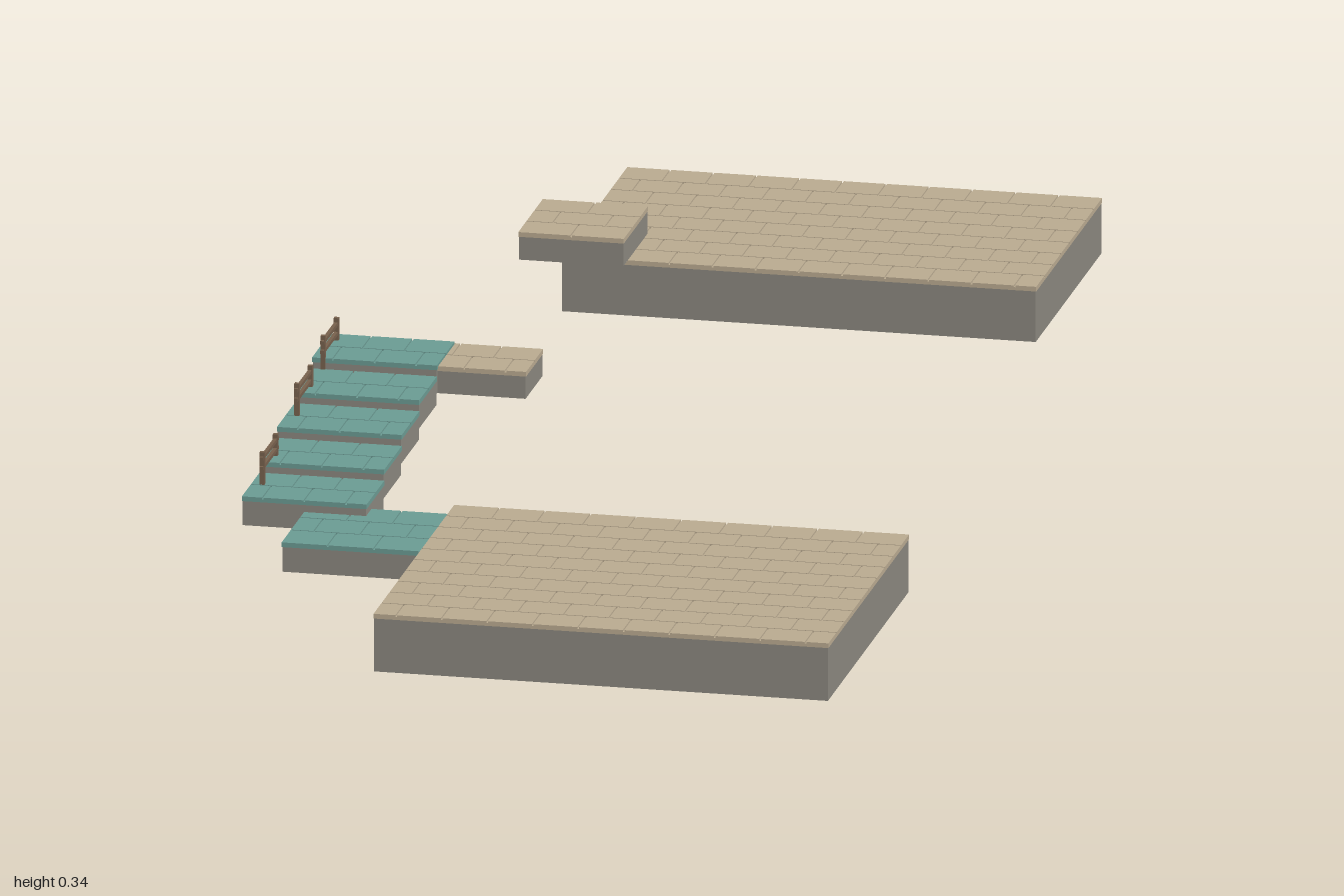
import * as THREE from 'three';
import { mergeGeometries } from 'three/addons/utils/BufferGeometryUtils.js';

function material(name, color) {
  const m = new THREE.MeshStandardMaterial({ color });
  m.name = name;
  return m;
}

// Box given by its minimum and maximum on each axis
function span(x0, x1, y0, y1, z0, z1) {
  return new THREE.BoxGeometry(x1 - x0, y1 - y0, z1 - z0)
    .translate((x0 + x1) / 2, (y0 + y1) / 2, (z0 + z1) / 2);
}

// Running-bond paving: a thin bed with slightly raised tiles
function paving(x0, x1, top, z0, z1) {
  const gap = 0.003, raise = 0.003;
  const parts = [span(x0, x1, top - 0.008, top - raise, z0, z1)];
  const rows = Math.max(2, Math.round((z1 - z0) / 0.062));
  const cols = Math.max(2, Math.round((x1 - x0) / 0.072));
  const depth = (z1 - z0) / rows, width = (x1 - x0) / cols;
  for (let r = 0; r < rows; r++) {
    const shift = r % 2 ? width / 2 : 0;
    for (let c = 0; c < cols + (r % 2); c++) {
      const a = Math.max(x0, x0 + c * width - shift);
      const b = Math.min(x1, x0 + (c + 1) * width - shift);
      const za = z0 + r * depth, zb = za + depth;
      parts.push(span(
        a > x0 + 1e-6 ? a + gap / 2 : a, b < x1 - 1e-6 ? b - gap / 2 : b,
        top - raise, top,
        r > 0 ? za + gap / 2 : za, r < rows - 1 ? zb - gap / 2 : zb));
    }
  }
  return mergeGeometries(parts);
}

export function createModel() {
  const model = new THREE.Group();
  model.name = 'steppedPlatforms';
  const stone = material('grey stone', 0x8a867e);
  const tan = material('tan paving', 0xb8a98f);
  const teal = material('teal paving', 0x6a9a92);
  const wood = material('brown wood', 0x76604c);

  function block(name, tileMaterial, x0, x1, y0, y1, z0, z1) {
    const group = new THREE.Group();
    group.name = name;
    const e = 0.001;
    const body = new THREE.Mesh(span(x0 + e, x1 - e, y0, y1 - 0.008, z0 + e, z1 - e), stone);
    body.name = name + 'Body';
    const tiles = new THREE.Mesh(paving(x0, x1, y1, z0, z1), tileMaterial);
    tiles.name = name + 'Paving';
    group.add(body, tiles);
    model.add(group);
  }

  // Large platforms and small landings
  block('lowerPlatform', tan, -0.22, 0.535, 0, 0.098, 0.39, 1);
  block('upperPlatform', tan, -0.238, 0.55, 0.155, 0.249, -1, -0.502);
  block('floatingBlock', tan, -0.27, -0.095, 0.295, 0.342, -0.507, -0.322);
  block('upperLanding', tan, -0.405, -0.2, 0.142, 0.188, -0.191, -0.062);
  block('lowerLanding', teal, -0.45, -0.22, 0.047, 0.097, 0.437, 0.647);

  // Five rising steps
  for (let i = 0; i < 5; i++) {
    const front = 0.478 - i * 0.1325, top = 0.117 + i * 0.0188;
    block('step' + (i + 1), teal, -0.553, -0.346, top - 0.049, top, front - 0.1345, front);
  }

  // Handrails: two posts and two rails each
  const rails = [
    { z: 0.355, base: 0.112, top: 0.172 },
    { z: 0.093, base: 0.152, top: 0.209 },
    { z: -0.105, base: 0.17, top: 0.23 },
  ];
  rails.forEach(({ z, base, top }, i) => {
    const handrail = new THREE.Group();
    handrail.name = 'handrail' + (i + 1);
    const x = -0.535;
    for (const side of [-1, 1]) {
      const pz = z + side * 0.05;
      const post = new THREE.Mesh(span(x - 0.004, x + 0.004, base, top, pz - 0.004, pz + 0.004), wood);
      post.name = 'post';
      handrail.add(post);
    }
    for (const drop of [0.01, 0.026]) {
      const y = top - drop;
      const rail = new THREE.Mesh(span(x - 0.003, x + 0.003, y - 0.003, y + 0.003, z - 0.06, z + 0.06), wood);
      rail.name = 'rail';
      handrail.add(rail);
    }
    model.add(handrail);
  });

  return model;
}
